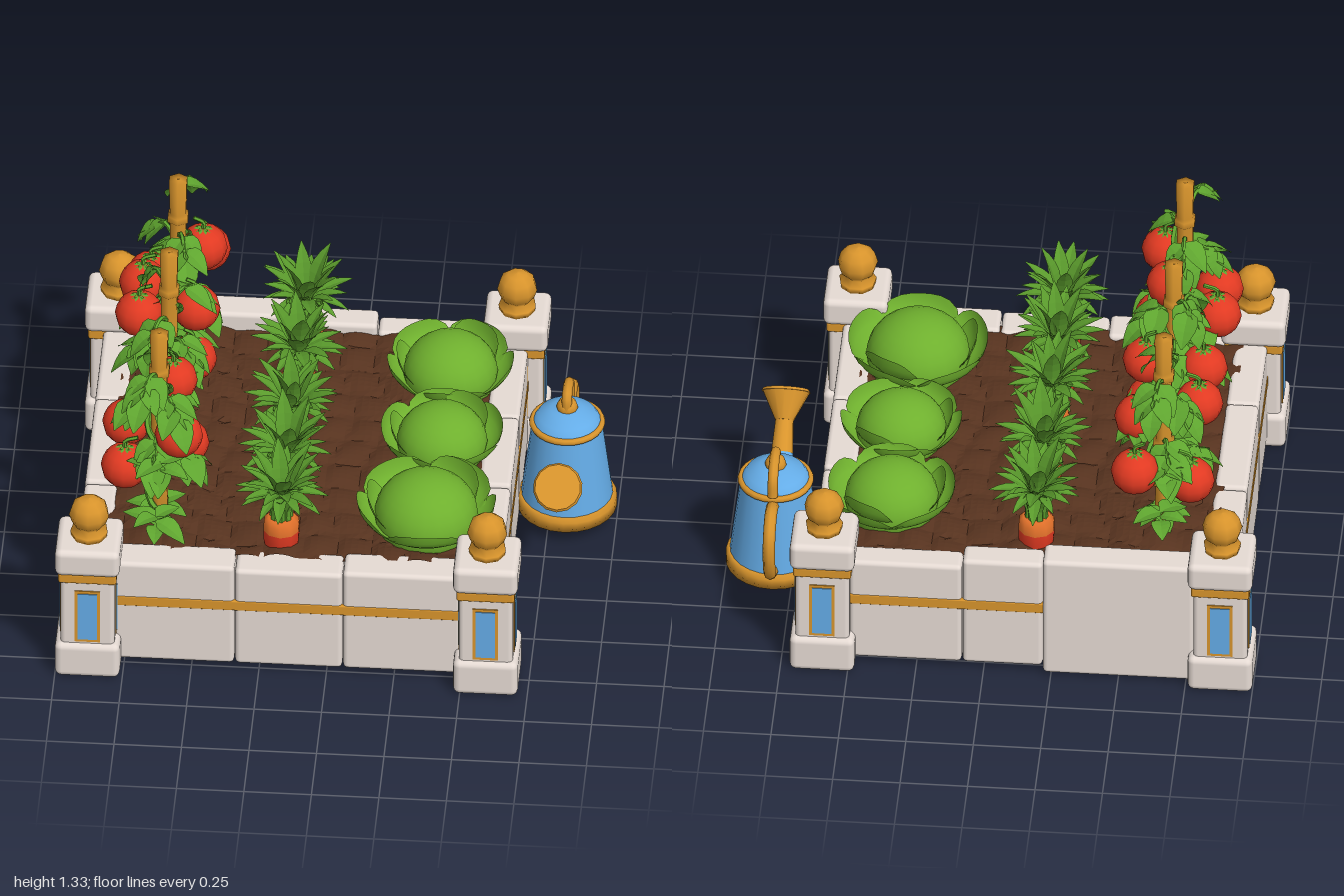
import * as THREE from 'three';
import { RoundedBoxGeometry } from 'three/addons/geometries/RoundedBoxGeometry.js';

const V = (x, y, z) => new THREE.Vector3(x, y, z);
const mat = (name, color, extra = {}) => {
  const m = new THREE.MeshStandardMaterial({ color, ...extra });
  m.name = name;
  return m;
};

export function createModel() {
  const root = new THREE.Group();
  root.name = 'vegetableBed';
  const leafy = { side: THREE.DoubleSide, flatShading: true };
  const stone = mat('stone', 0xe6dbd4), gold = mat('gold', 0xd8942c), blue = mat('blue', 0x65ade8);
  const soil = mat('soil', 0x57331f, { flatShading: true }), red = mat('tomatoRed', 0xe23a22);
  const orange = mat('carrotOrange', 0xe0702a), vine = mat('vineGreen', 0x5fa52f, leafy);
  const cabbage = mat('cabbageGreen', 0x6fb02e, { side: THREE.DoubleSide });
  const frond = mat('frondGreen', 0x5a9a2c, leafy), paving = mat('pavingBrown', 0xd4b296);

  let seed = 7;
  const rnd = (a, b) => {
    seed = (seed * 16807) % 2147483647;
    return a + (b - a) * (seed / 2147483647);
  };
  const add = (parent, name, geo, material, x = 0, y = 0, z = 0) => {
    const m = new THREE.Mesh(geo, material);
    m.name = name;
    m.position.set(x, y, z);
    parent.add(m);
    return m;
  };
  const group = (name, x = 0, y = 0, z = 0) => {
    const g = new THREE.Group();
    g.name = name;
    g.position.set(x, y, z);
    root.add(g);
    return g;
  };
  const block = (parent, name, w, h, d, x, y, z, material = stone, r = 0.018) =>
    add(parent, name, new RoundedBoxGeometry(w, h, d, 2, r), material, x, y, z);
  const lathe = (pts, n) => new THREE.LatheGeometry(pts.map(p => new THREE.Vector2(...p)), n);
  const tube = (pts, r, n = 20, sides = 8) => new THREE.TubeGeometry(new THREE.CatmullRomCurve3(pts), n, r, sides);
  const rod = (parent, name, a, b, ra, rb, material, ...cyl) => {
    const m = add(parent, name, new THREE.CylinderGeometry(rb, ra, a.distanceTo(b), 14, 1, ...cyl), material);
    m.position.copy(a).lerp(b, 0.5);
    m.quaternion.setFromUnitVectors(V(0, 1, 0), b.clone().sub(a).normalize());
    return m;
  };

  // Corner posts: foot, shaft, band, cap, finial and inlaid panels
  const finial = lathe([[0, 0], [0.066, 0], [0.07, 0.025], [0.042, 0.04], [0.064, 0.065], [0.075, 0.1],
    [0.064, 0.14], [0.036, 0.163], [0, 0.17]], 9);
  for (const x of [-0.88, 0.595]) for (const z of [-0.74, 0.74]) {
    const g = group('cornerPost', x, 0, z);
    block(g, 'postFoot', 0.24, 0.15, 0.24, 0, 0.075, 0, stone, 0.025);
    block(g, 'postShaft', 0.2, 0.36, 0.2, 0, 0.3, 0);
    block(g, 'postBand', 0.216, 0.045, 0.216, 0, 0.449, 0, gold, 0.01);
    block(g, 'postCap', 0.24, 0.115, 0.24, 0, 0.522, 0, stone, 0.025);
    add(g, 'finial', finial, gold, 0, 0.578, 0);
    for (let i = 0; i < 4; i++) {
      const side = new THREE.Group();
      side.name = 'postPanel';
      side.rotation.y = i * Math.PI / 2;
      g.add(side);
      add(side, 'panelFrame', new THREE.BoxGeometry(0.094, 0.234, 0.008), gold, 0, 0.275, 0.1);
      add(side, 'panelInlay', new THREE.BoxGeometry(0.072, 0.21, 0.008), blue, 0, 0.275, 0.103);
    }
  }

  // Stone walls, each split into blocks
  const walls = group('walls');
  const wallX = (cuts, z, d, top) => {
    for (let i = 0; i < cuts.length - 1; i++) {
      const w = cuts[i + 1] - cuts[i];
      block(walls, 'wallBlock', w - 0.003, top[i] - 0.03, d, (cuts[i] + cuts[i + 1]) / 2, (top[i] + 0.03) / 2, z);
    }
  };
  wallX([-0.79, -0.34, 0.06, 0.5], 0.705, 0.134, [0.475, 0.465, 0.475]);
  wallX([-0.22, 0.08, 0.5], -0.745, 0.106, [0.505, 0.475]);
  block(walls, 'tallSlab', 0.56, 0.52, 0.12, -0.5, 0.27, -0.752);
  const wallZ = (cuts, x) => {
    for (let i = 0; i < cuts.length - 1; i++)
      block(walls, 'wallBlock', 0.122, 0.435 + 0.008 * (i % 2), cuts[i + 1] - cuts[i] - 0.003,
        x, 0.25, (cuts[i] + cuts[i + 1]) / 2);
  };
  wallZ([-0.66, -0.23, 0.19, 0.66], 0.58);
  wallZ([-0.66, -0.23, 0.28, 0.66], -0.87);

  // Gold trim set almost flush in the walls
  block(walls, 'frontTrim', 1.28, 0.042, 0.02, -0.145, 0.302, 0.765, gold, 0.004);
  block(walls, 'backTrim', 0.74, 0.042, 0.02, 0.14, 0.302, -0.791, gold, 0.004);
  for (const x of [-0.924, 0.634]) block(walls, 'sideTrim', 0.02, 0.042, 1.32, x, 0.302, 0, gold, 0.004);

  // Underside paving
  for (let i = 0; i < 4; i++) for (let j = 0; j < 4; j++)
    block(walls, 'baseTile', 0.369, 0.06, 0.365, -0.7 + i * 0.37, 0.06 + 0.004 * ((i + j) % 2), -0.565 + j * 0.367, paving, 0.008);

  // Lumpy soil surface
  const earth = new THREE.PlaneGeometry(1.4, 1.38, 56, 56).rotateX(-Math.PI / 2);
  const ep = earth.attributes.position;
  for (let i = 0; i < ep.count; i++) {
    const x = ep.getX(i), z = ep.getZ(i);
    const lump = Math.abs(Math.sin(x * 24 + Math.sin(z * 8))) * Math.abs(Math.sin(z * 22 + Math.sin(x * 9)));
    ep.setY(i, 0.022 * Math.sqrt(lump) + 0.008 * Math.cos(x * 14) - 0.01);
  }
  earth.computeVertexNormals();
  add(root, 'soil', earth, soil, -0.145, 0.465, -0.01);

  // Folded, drooping leaf pointing along +z with unit length
  const leafGeo = (width, droop, fold) => {
    const pos = [], idx = [], n = 5;
    for (let i = 0; i <= n; i++) {
      const t = i / n, w = width * Math.pow(Math.sin(Math.PI * Math.pow(t, 0.75) * 0.97 + 0.06), 0.8) / 2, y = -droop * t * t;
      pos.push(-w, y + w * fold, t, 0, y, t, w, y + w * fold, t);
      if (i < n) for (let k = 0; k < 2; k++) {
        const a = i * 3 + k;
        idx.push(a, a + 3, a + 1, a + 1, a + 3, a + 4);
      }
    }
    const g = new THREE.BufferGeometry();
    g.setAttribute('position', new THREE.Float32BufferAttribute(pos, 3));
    g.setIndex(idx);
    g.computeVertexNormals();
    return g;
  };
  const broad = leafGeo(0.75, 0.45, 0.25), narrow = leafGeo(0.34, 0.25, 0.3);
  const leaf = (parent, geo, material, p, yaw, pitch, size) => {
    const m = add(parent, 'leaf', geo, material, p.x, p.y, p.z);
    m.rotation.set(-pitch, yaw, 0, 'YXZ');
    m.scale.setScalar(size);
  };

  // Staked tomato vines
  const stake = lathe([[0, 0], [0.04, 0], [0.034, 0.19], [0.045, 0.2], [0.045, 0.225], [0.034, 0.235], [0.034, 0.37], [0.044, 0.38],
    [0.044, 0.4], [0.033, 0.41], [0.034, 0.68], [0.043, 0.69], [0.043, 0.715], [0.034, 0.725], [0.038, 0.875], [0, 0.875]], 6);
  for (const z of [-0.455, -0.01, 0.48]) {
    const g = group('tomatoPlant', -0.64, 0, z);
    add(g, 'stake', stake, gold, 0, 0.455, 0);
    // Winding main stem
    const wind = [];
    for (let i = 0; i <= 12; i++) wind.push(V(0.045 * Math.cos(i * 1.1), 0.46 + i * 0.054, 0.045 * Math.sin(i * 1.1)));
    add(g, 'mainStem', tube(wind, 0.012, 36, 5), vine);
    // Arching branches with leaves near their tips
    for (let i = 0; i < 8; i++) {
      const a = i * 2.4 + z * 3, y = 0.72 + i * 0.056, s = 1 - 0.045 * i;
      const dx = Math.sin(a) * 0.12 * s, dz = Math.cos(a) * 0.21 * (i > 4 ? 1 : s);
      const curve = new THREE.QuadraticBezierCurve3(V(0, y, 0), V(dx * 0.6, y + 0.16, dz * 0.6), V(dx, y + 0.04, dz));
      add(g, 'branch', new THREE.TubeGeometry(curve, 8, 0.009, 5), vine);
      const yaw = Math.atan2(dx, dz);
      [[0.55, 0.9], [0.6, -0.9], [0.85, 0.8], [0.85, -0.8], [1, 0]].forEach(([t, turn]) =>
        leaf(g, broad, vine, curve.getPoint(t), yaw + turn, rnd(-0.7, -0.1), rnd(0.1, 0.135)));
    }
    // Leaf clumps at the foot and either side
    [[0, 0.5, 0], [0, 0.55, 0.15], [0, 0.6, -0.16], [0.02, 0.84, 0.2], [-0.02, 0.84, -0.2]].forEach(([x, y, dz]) => {
      for (let i = 0; i < 6; i++) leaf(g, broad, vine, V(x, y + 0.02 * (i % 3), dz), i * 1.1, rnd(-0.1, 0.5), rnd(0.09, 0.125));
    });
  }

  // Tomatoes with leafy tops
  const fruit = new THREE.SphereGeometry(0.09, 12, 8).scale(1, 0.95, 1);
  [[-0.56, 0.94, 0.58], [-0.6, 0.99, 0.31], [-0.55, 0.77, 0.4], [-0.77, 0.82, 0.36], [-0.76, 0.78, 0.57],
    [-0.55, 0.98, -0.14], [-0.56, 0.77, -0.11], [-0.76, 0.95, -0.13], [-0.76, 0.94, -0.33], [-0.55, 0.99, -0.5],
    [-0.55, 0.86, -0.66], [-0.75, 0.78, -0.59]].forEach(([x, y, z]) => {
    const g = group('tomato', x, y, z);
    add(g, 'tomatoFruit', fruit, red);
    for (let i = 0; i < 5; i++) leaf(g, broad, vine, V(0, 0.083, 0), i * 1.257, 0.1, 0.045);
    add(g, 'tomatoStalk', tube([V(0, 0.08, 0), V(0, 0.11, 0), V((-0.64 - x) * 0.4, 0.13, 0)], 0.008, 6, 5), vine);
  });

  // Carrots with feathery tops
  for (const z of [-0.6, -0.29, 0.05, 0.33, 0.58]) {
    const g = group('carrot', -0.18, 0, z);
    add(g, 'carrotRoot', lathe([[0.052, 0.4], [0.068, 0.49], [0.069, 0.53]], 10), red);
    add(g, 'carrotShoulder', lathe([[0.069, 0.53], [0.067, 0.565], [0.05, 0.583], [0, 0.585]], 10), orange);
    for (let i = 0; i < 7; i++) {
      const a = i * 0.9, s = Math.sin(a), c = Math.cos(a);
      add(g, 'carrotStalk', tube([V(s * 0.03, 0.57, c * 0.03), V(s * 0.03, 0.63, c * 0.03), V(s * 0.07, 0.71, c * 0.07)], 0.016, 5, 5), frond);
    }
    [[12, 0.05, 0.135], [11, 0.6, 0.15], [9, 1.0, 0.17], [6, 1.35, 0.2]].forEach(([n, pitch, size], k) => {
      for (let i = 0; i < n; i++) {
        const a = (i + k * 0.4) / n * Math.PI * 2;
        leaf(g, narrow, frond, V(Math.sin(a) * 0.025, 0.7, Math.cos(a) * 0.025), a, pitch + rnd(-0.2, 0.2), size * rnd(0.85, 1.1));
      }
    });
  }

  // Cabbages: round head in a few wide, cupped leaves
  const cupLeaf = (reach, height, spread) => {
    const geo = new THREE.PlaneGeometry(2, 1, 10, 6), p = geo.attributes.position;
    for (let i = 0; i < p.count; i++) {
      const u = p.getX(i), v = (p.getY(i) + 0.5) * (1 - 0.45 * u ** 4);
      const r = 0.09 + (reach - 0.09) * Math.sin(v * 1.57), a = u * spread;
      p.setXYZ(i, r * Math.sin(a), height * v ** 1.8, r * Math.cos(a));
    }
    geo.computeVertexNormals();
    return geo;
  };
  const openLeaf = cupLeaf(0.235, 0.105, 0.72), snugLeaf = cupLeaf(0.2, 0.13, 0.65);
  [[0.37, -0.44, 1, 0.1], [0.37, -0.02, 0.96, 0.7], [0.345, 0.43, 1.1, 1.3]].forEach(([x, z, s, turn]) => {
    const g = group('cabbage', x, 0.475, z);
    g.scale.setScalar(s);
    g.rotation.y = turn;
    add(g, 'cabbageHead', new THREE.SphereGeometry(0.175, 20, 14).scale(1, 0.86, 1), cabbage, 0, 0.032, 0);
    for (let i = 0; i < 5; i++) add(g, 'outerLeaf', openLeaf, cabbage, 0, 0.003 * (i % 2), 0).rotation.y = i * 1.257;
    for (let i = 0; i < 2; i++) add(g, 'innerLeaf', snugLeaf, cabbage, 0, 0.005, 0).rotation.y = i * 2.2 - turn + 2.6;
  });

  // Watering can
  const can = group('wateringCan', 0.815, 0, -0.265);
  add(can, 'canBase', lathe([[0, 0.055], [0.185, 0.055], [0.185, 0.095], [0.172, 0.112], [0, 0.112]], 24), gold);
  add(can, 'canBody', lathe([[0.17, 0.105], [0.13, 0.432]], 24), blue);
  add(can, 'canRim', new THREE.TorusGeometry(0.128, 0.013, 8, 24).rotateX(Math.PI / 2), gold, 0, 0.432, 0);
  add(can, 'canLid', lathe([[0.128, 0.435], [0.108, 0.468], [0.06, 0.492], [0, 0.5]], 24), blue);
  add(can, 'lidKnob', new THREE.SphereGeometry(0.04, 10, 8), gold, 0, 0.5, 0);
  add(can, 'lidHandle', tube([V(0, 0.49, 0.02), V(0, 0.55, 0.01), V(0, 0.557, -0.06), V(0, 0.52, -0.12), V(0, 0.45, -0.135)], 0.019), gold);
  add(can, 'sideHandle', tube([V(0, 0.4, -0.12), V(0, 0.425, -0.21), V(0, 0.38, -0.285), V(0, 0.29, -0.3),
    V(0, 0.19, -0.26), V(0, 0.125, -0.165)], 0.023, 28), gold);
  const a = V(0, 0.175, 0.1), b = V(0, 0.425, 0.41);
  rod(can, 'spout', a, b, 0.055, 0.032, gold);
  rod(can, 'spoutTop', a, a.clone().lerp(b, 0.6), 0.058, 0.044, blue, true, Math.PI * 0.6, Math.PI * 0.8);
  rod(can, 'spoutRose', V(0, 0.405, 0.385), V(0, 0.478, 0.463), 0.035, 0.088, gold);
  rod(can, 'roseFace', V(0, 0.478, 0.463), V(0, 0.486, 0.471), 0.092, 0.085, gold);
  return root;
}
